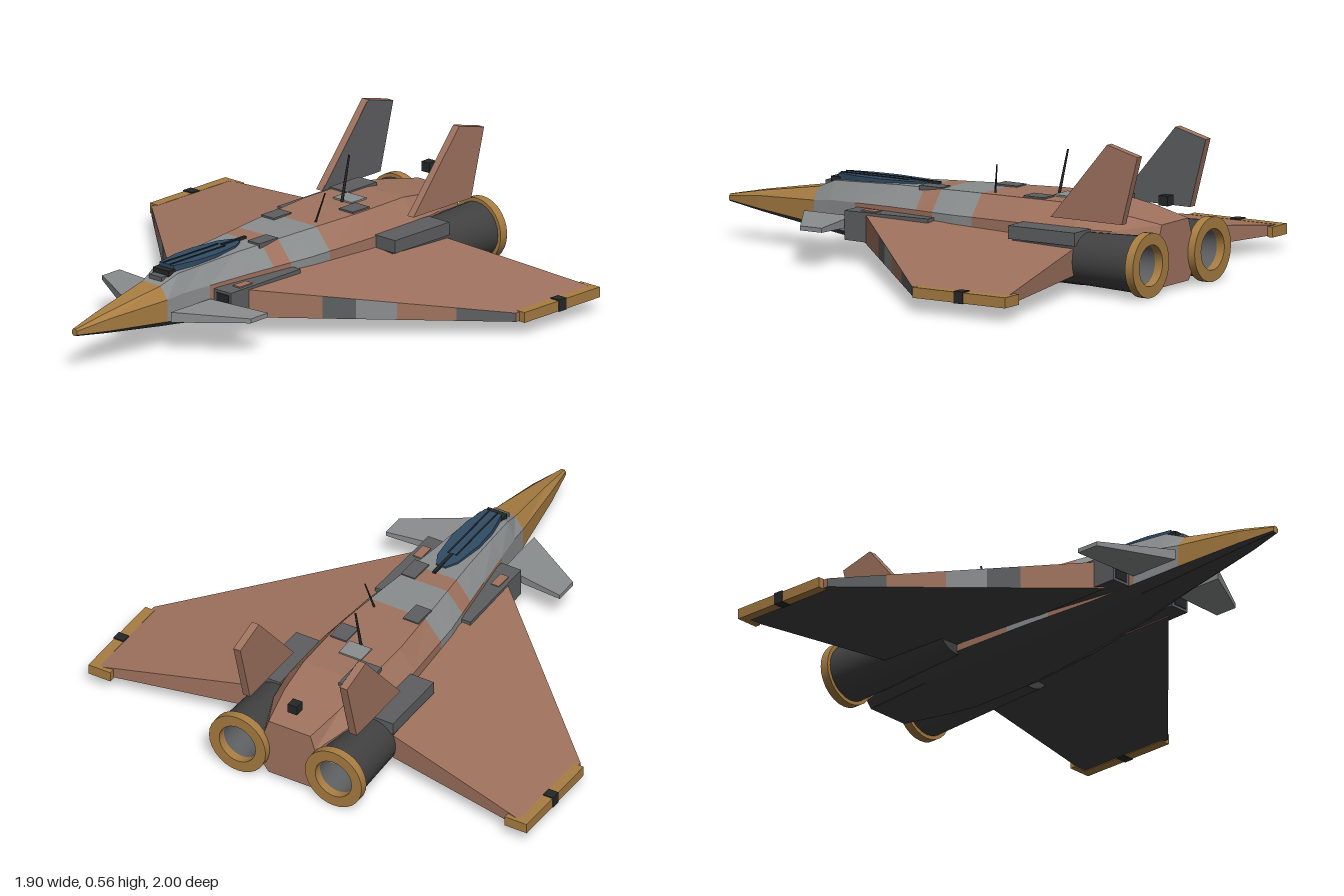
import * as THREE from 'three';
import { toCreasedNormals } from 'three/addons/utils/BufferGeometryUtils.js';

const mat = (name, color) => Object.assign(new THREE.MeshStandardMaterial({ color }), { name });

export function createModel() {
  const model = new THREE.Group();
  model.name = 'jet';
  const brown = mat('brown', 0xa0735f), gold = mat('gold', 0xa87d42), light = mat('lightGrey', 0x8b8e8f);
  const grey = mat('grey', 0x5e5f61), belly = mat('bellyGrey', 0x414142), blue = mat('glassBlue', 0x2f4c65);
  const black = mat('black', 0x262728);

  const add = (name, geo, material, x = 0, y = 0, z = 0) => {
    const m = new THREE.Mesh(geo, material);
    m.name = name;
    m.position.set(x, y, z);
    model.add(m);
    return m;
  };

  // Box given by its limits on each axis
  const box = (name, material, x0, x1, y0, y1, z0, z1) =>
    add(name, new THREE.BoxGeometry(Math.abs(x1 - x0), y1 - y0, Math.abs(z1 - z0)), material,
      (x0 + x1) / 2, (y0 + y1) / 2, (z0 + z1) / 2);

  // Mesh of flat polygons, each { p: corners, m: material }; side -1 mirrors it
  const faceted = (name, faces, side = 1) => {
    const mats = [...new Set(faces.map(f => f.m))], pos = [], geo = new THREE.BufferGeometry();
    mats.forEach((m, k) => {
      const start = pos.length / 3;
      for (const f of faces.filter(q => q.m === m)) {
        const p = side < 0 ? [...f.p].reverse() : f.p;
        for (let i = 1; i < p.length - 1; i++)
          for (const v of [p[0], p[i], p[i + 1]]) pos.push(v[0] * side, v[1], v[2]);
      }
      geo.addGroup(start, pos.length / 3 - start, k);
    });
    geo.setAttribute('position', new THREE.Float32BufferAttribute(pos, 3));
    geo.computeVertexNormals();
    return add(name, geo, mats);
  };

  // Slab from an outline [x, z, bottom, top], anticlockwise from above
  const slab = (name, pts, side, topM, lowM, edge) => {
    const n = pts.length;
    const hi = pts.map(([x, z, , t]) => [x, t, z]), lo = pts.map(([x, z, b]) => [x, b, z]);
    const faces = [
      { p: [hi[n - 1], ...hi.slice(0, n - 1)], m: topM },
      { p: [lo[n - 1], ...lo.slice(0, n - 1).reverse()], m: lowM },
    ];
    for (let i = 0; i < n; i++) {
      const j = (i + 1) % n;
      faces.push({ p: [lo[i], lo[j], hi[j], hi[i]], m: edge(i) });
    }
    return faceted(name, faces, side);
  };

  // Fuselage stations: z, half widths (side, top, bottom), heights (bottom, lower, upper, top)
  const stations = [
    [1, .012, .006, .006, .145, .15, .165, .172],
    [.85, .042, .02, .025, .125, .137, .185, .202],
    [.58, .08, .045, .05, .092, .115, .2, .247],
    [.5, .09, .06, .056, .083, .108, .21, .28],
    [.2, .135, .08, .09, .05, .078, .22, .295],
    [-.1, .18, .11, .12, .025, .06, .225, .305],
    [-.4, .2, .135, .14, .012, .05, .23, .312],
    [-.65, .197, .13, .14, .01, .05, .23, .312],
    [-.8, .17, .12, .12, .015, .05, .23, .29],
    [-.97, .11, .09, .09, .025, .05, .2, .26],
  ];
  const sample = z => {
    const i = Math.max(1, stations.findIndex(s => s[0] <= z)), a = stations[i - 1], b = stations[i];
    const t = (z - a[0]) / (b[0] - a[0]);
    return a.map((v, k) => v + (b[k] - v) * t);
  };
  const ring = z => {
    const [, w, wt, wb, yb, yl, yu, yt] = sample(z);
    const half = [[wb, yb, z], [w, yl, z], [w, yu, z], [wt, yt, z]];
    return [...half, ...[...half].reverse().map(([x, y]) => [-x, y, z])];
  };
  // Camouflage bands along the body
  const paint = (j, z) => {
    if (j === 0 || j >= 6) return belly;
    if (z > .58) return gold;
    if (z < 0) return z > -.19 ? light : brown;
    return z > (j === 1 || j === 5 ? .38 : .08) ? light : brown;
  };
  const cuts = [...stations.map(s => s[0]), .38, .08, 0, -.19].sort((a, b) => b - a);
  const body = [{ p: ring(1), m: gold }, { p: ring(-.97).reverse(), m: brown }];
  for (let i = 0; i < cuts.length - 1; i++) {
    const a = ring(cuts[i]), b = ring(cuts[i + 1]);
    for (let j = 0; j < 8; j++) {
      const k = (j + 1) % 8;
      body.push({ p: [a[j], b[j], b[k], a[k]], m: paint(j, (cuts[i] + cuts[i + 1]) / 2) });
    }
  }
  faceted('fuselage', body);

  // Canopy glass with frame bars and windscreen block
  const glass = [[.035, .5], [.055, .4], [.06, .3], [.045, .17], [.02, .12]];
  const outline = [...glass, ...[...glass].reverse().map(([x, z]) => [-x, z])];
  slab('canopy', outline.map(([x, z]) => [x, z, .275, .304]), 1, blue, blue, () => blue);
  box('canopySpine', black, -.006, .006, .295, .308, .07, .2);
  for (const s of [-1, 1]) box('canopyFrame', black, s * .014, s * .02, .295, .307, .2, .5);
  box('windscreenBase', black, -.04, .04, .25, .29, .49, .53);
  box('windscreenFrame', grey, -.032, .032, .24, .272, .53, .56);

  for (const s of [1, -1]) {
    // Wing with painted leading edge
    const xs = [.17, .4, .49, .6, .76, .92], edgeMats = [brown, grey, light, brown, grey];
    const lead = xs.map(x => {
      const t = (x - .17) / .75;
      return [x, .298 - .709 * t, .085 - .022 * t, .195 - .098 * t];
    });
    slab('wing', [...lead, [.92, -.83, .063, .097], [.17, -.69, .075, .19]], s,
      brown, belly, i => edgeMats[i] || brown);

    // Wingtip rail
    box('wingtipRail', gold, s * .905, s * .945, .06, .1, -.84, -.43);
    box('wingtipTail', gold, s * .85, s * .945, .06, .1, -.84, -.818);
    box('wingtipBand', black, s * .904, s * .948, .058, .104, -.655, -.615);

    // Canard and intake
    slab('canard', [[.115, .6, .125, .165], [.375, .445, .143, .16], [.375, .35, .143, .16], [.115, .385, .125, .165]],
      s, light, light, () => light);
    slab('intake', [[.115, .365, .09, .2], [.2, .365, .09, .2], [.205, -.01, .085, .205], [.115, -.01, .085, .205]],
      s, grey, belly, () => grey);
    box('intakeMouth', black, s * .13, s * .19, .1, .19, .36, .368);
    box('intakePatch', brown, s * .15, s * .185, .2, .206, .23, .3);

    // Engine nacelle, nozzle ring and pipe
    const cx = s * .207, cy = .127;
    const open = new THREE.CylinderGeometry(.108, .088, .535, 24, 1, true).rotateX(-Math.PI / 2);
    add('nacelle', open, belly, cx, cy, -.6975);
    add('nacelleFront', new THREE.CircleGeometry(.088, 24), belly, cx, cy, -.43);
    const lathe = pts => toCreasedNormals(
      new THREE.LatheGeometry(pts.map(p => new THREE.Vector2(...p)), 28).rotateX(-Math.PI / 2), .6);
    add('nozzleRing', lathe([[.078, .965], [.122, .965], [.122, 1], [.078, 1], [.078, .965]]), gold, cx, cy);
    add('nozzlePipe', lathe([[.078, .966], [.07, .82], [0, .82]]), grey, cx, cy);
    box('nacelleFairing', grey, s * .19, s * .297, .185, .235, -.72, -.425);

    // Tail fin
    const shape = new THREE.Shape([[.58, .275], [.83, .57], [.965, .535], [.895, .275]].map(p => new THREE.Vector2(...p)));
    const fin = new THREE.ExtrudeGeometry(shape, { depth: .03, bevelEnabled: false });
    fin.translate(0, 0, -.015).rotateY(Math.PI / 2);
    add('tailFin', fin, brown, s * .23);
    if (s < 0) {
      const panel = new THREE.ExtrudeGeometry(shape, { depth: .002, bevelEnabled: false }).rotateY(Math.PI / 2);
      add('tailFinInnerPanel', panel, grey, -.2148);
    }
  }

  // Raised panels on the back: material, x range, z range
  for (const [m, x0, x1, z0, z1] of [
    [grey, -.14, -.05, -.7, -.54], [grey, .055, .125, -.47, -.38], [grey, -.115, -.05, -.235, -.14],
    [grey, .04, .1, 0, .1], [light, -.05, .045, -.54, -.46],
  ]) {
    const y = sample((z0 + z1) / 2)[7];
    box('backPanel', m, x0, x1, y - .012, y + .006, z0, z1);
  }

  // Antennas and tail sensor
  const rod = (name, a, b, r) => {
    const from = new THREE.Vector3(...a), dir = new THREE.Vector3(...b).sub(from);
    const m = add(name, new THREE.CylinderGeometry(r * .6, r, dir.length(), 8), black);
    m.position.copy(from).addScaledVector(dir, .5);
    m.quaternion.setFromUnitVectors(new THREE.Vector3(0, 1, 0), dir.normalize());
  };
  rod('tallAntenna', [0, .31, -.455], [0, .485, -.495], .006);
  rod('shortAntenna', [.08, .305, -.225], [.106, .42, -.25], .004);
  box('tailSensor', black, -.02, .02, .317, .355, -.95, -.91);

  return model;
}
